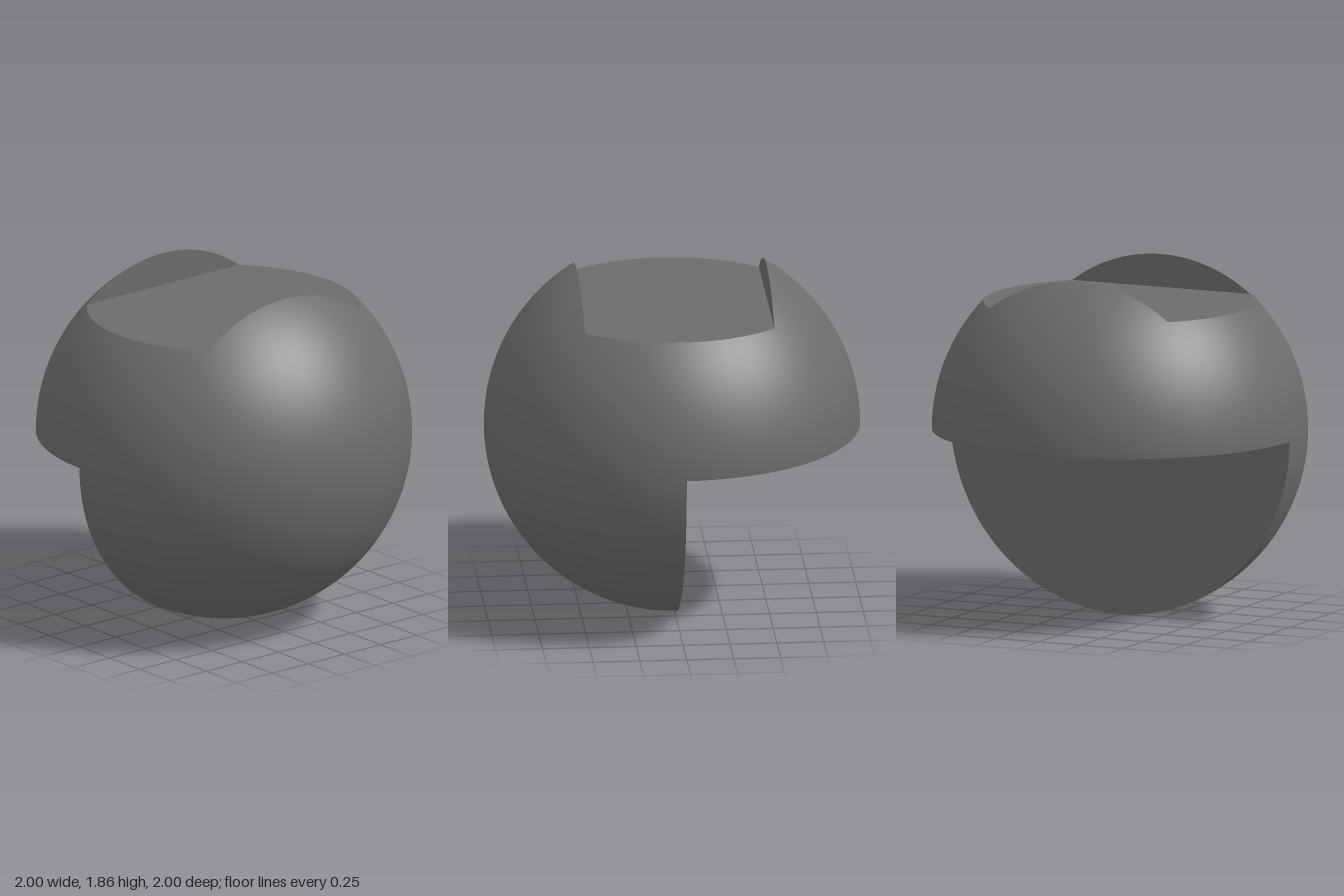
import * as THREE from 'three';

const SLOT_X = 0.505;   // half width of the top slot
const SLOT_Y = 0.686;   // slot floor height above the ball centre
const FLOOR_R = Math.sqrt(1 - SLOT_Y ** 2);
const WALL_R = Math.sqrt(1 - SLOT_X ** 2);
const { PI } = Math;

export function createModel() {
  const group = new THREE.Group();
  group.name = 'cutBall';
  const body = new THREE.Group();
  body.name = 'body';
  body.position.y = 1;
  group.add(body);
  const material = new THREE.MeshStandardMaterial({ color: 0x6c6c6c });

  const add = (name, geometry) => {
    const mesh = new THREE.Mesh(geometry, material);
    mesh.name = name;
    body.add(mesh);
    return mesh;
  };

  // Patch of the unit sphere between two x planes; the angle about the x axis
  // (0 = top, PI / 2 = front) is clamped to start(r)..end(r). All patches share
  // the same angle steps, so their seams meet vertex to vertex.
  const skin = (name, x0, x1, start, end) => {
    const geometry = new THREE.PlaneGeometry(1, 1, 40, 128);
    const pos = geometry.attributes.position;
    const a0 = Math.asin(x0), a1 = Math.asin(x1);
    for (let i = 0; i < pos.count; i++) {
      const a = THREE.MathUtils.lerp(a0, a1, pos.getX(i) + 0.5);
      const r = Math.cos(a);
      const t = THREE.MathUtils.clamp(2 * PI * (0.5 - pos.getY(i)), start(r), end(r));
      pos.setXYZ(i, Math.sin(a), r * Math.cos(t), r * Math.sin(t));
    }
    geometry.attributes.normal.copy(pos); // smooth sphere normals
    add(name, geometry);
  };

  // Flat cut face bounded by arcs about the origin, joined by straight edges
  const cut = (name, radius, arcs) => {
    const shape = new THREE.Shape();
    for (const [from, to] of arcs) shape.absarc(0, 0, radius, from, to, false);
    return add(name, new THREE.ShapeGeometry(shape, 96));
  };

  // Curved skin
  const top = () => 0, front = () => PI / 2, back = () => 1.5 * PI, topAgain = () => 2 * PI;
  const frontRim = r => Math.acos(SLOT_Y / r);
  const backRim = r => 2 * PI - frontRim(r);
  skin('leftSkin', SLOT_X, 1, top, topAgain);
  skin('lowerSkin', 0, SLOT_X, frontRim, backRim);
  skin('frontUpperSkin', -SLOT_X, 0, frontRim, front);
  skin('backUpperSkin', -SLOT_X, 0, back, backRim);
  skin('rightFrontSkin', -1, -SLOT_X, top, front);
  skin('rightBackSkin', -1, -SLOT_X, back, topAgain);

  // Slot across the top
  const b = Math.acos(SLOT_X / FLOOR_R);
  const floor = cut('slotFloor', FLOOR_R, [[b, PI - b], [PI + b, 2 * PI - b]]);
  floor.rotation.x = -PI / 2;
  floor.position.y = SLOT_Y;
  const w = Math.asin(SLOT_Y / WALL_R);
  for (const side of [1, -1]) {
    const wall = cut(side > 0 ? 'slotLeftWall' : 'slotRightWall', WALL_R, [[w, PI - w]]);
    wall.rotation.y = -side * PI / 2;
    wall.position.x = side * SLOT_X;
  }

  // Missing lower right quarter
  cut('quarterCeiling', 1, [[PI / 2, 1.5 * PI]]).rotation.x = PI / 2;
  cut('quarterWall', 1, [[PI, 2 * PI]]).rotation.y = -PI / 2;

  return group;
}
